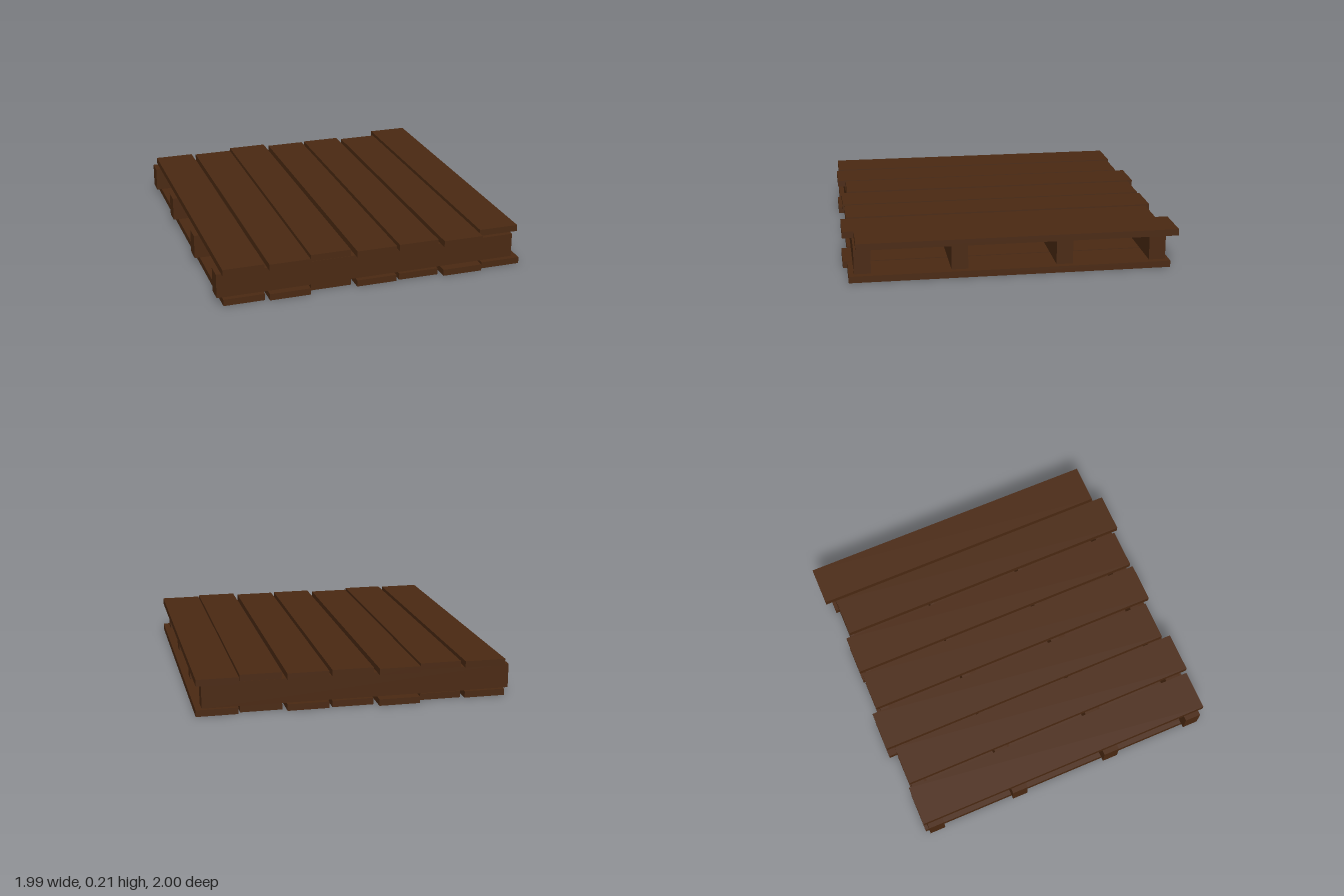
import * as THREE from 'three';

export function createModel() {
  const model = new THREE.Group();
  const pallet = new THREE.Group();
  pallet.name = 'pallet';
  pallet.rotation.y = THREE.MathUtils.degToRad(-10);
  model.add(pallet);

  const wood = new THREE.MeshStandardMaterial({ color: 0x4a2912, flatShading: true });

  // Plank given by its extents along each axis
  function plank(name, x0, x1, y0, y1, z0, z1) {
    const mesh = new THREE.Mesh(new THREE.BoxGeometry(x1 - x0, y1 - y0, z1 - z0), wood);
    mesh.position.set((x0 + x1) / 2, (y0 + y1) / 2, (z0 + z1) / 2);
    mesh.name = name;
    pallet.add(mesh);
  }

  const boardWidth = 0.224, boardLength = 1.734, thickness = 0.036;
  const deckY = 0.17;

  // Boards: left edge, and how far each is slid along its length
  const boards = [
    [-0.834, -0.004], [-0.587, 0.009], [-0.349, -0.037], [-0.1, -0.004],
    [0.143, -0.012], [0.39, 0.018], [0.626, -0.045],
  ];
  boards.forEach(([x, slide], i) => {
    const loose = i === boards.length - 1; // last top board is lifted and slid back
    const lift = loose ? 0.008 : 0;
    const half = boardLength / 2;
    plank('topBoard' + (i + 1), x, x + boardWidth,
      deckY + lift, deckY + lift + thickness, slide - half, slide + half);
    const low = loose ? -0.005 : slide;
    plank('bottomBoard' + (i + 1), x, x + boardWidth, 0, thickness, low - half, low + half);
  });

  // Crosswise bearers between the two decks
  [-0.806, -0.296, 0.272, 0.788].forEach((z, i) =>
    plank('bearer' + (i + 1), -0.862, 0.816, thickness, deckY, z - 0.045, z + 0.045));

  return model;
}
